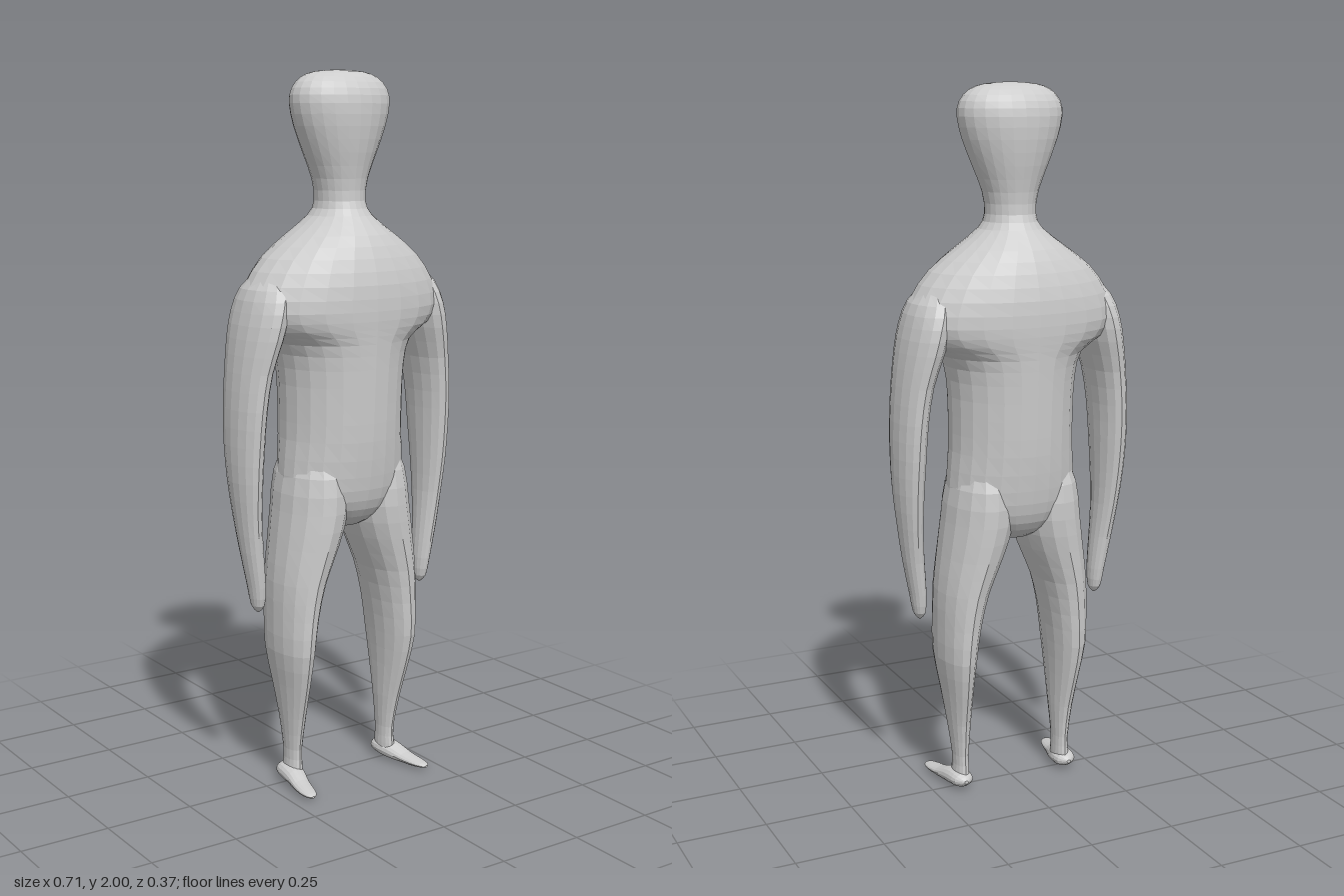
import * as THREE from 'three';

const skin = new THREE.MeshStandardMaterial({ color: 0xcccccc, flatShading: true });
skin.name = 'light grey';

// Smooth loft through elliptic stations [y, centreX, halfX, centreZ, halfZ], listed top to bottom.
function loft(stations, sides, rings) {
  const mid = new THREE.CatmullRomCurve3(
    stations.map(([y, cx, , cz]) => new THREE.Vector3(cx, y, cz)), false, 'catmullrom', 0.5);
  const size = new THREE.CatmullRomCurve3(
    stations.map(([, , hx, , hz]) => new THREE.Vector3(hx, 0, hz)), false, 'catmullrom', 0.5);
  const pos = [], index = [];
  for (let i = 0; i <= rings; i++) {
    const c = mid.getPoint(i / rings), s = size.getPoint(i / rings);
    for (let j = 0; j < sides; j++) {
      const a = (j / sides) * Math.PI * 2;
      pos.push(c.x + s.x * Math.cos(a), c.y, c.z + s.z * Math.sin(a));
    }
  }
  for (let i = 0; i < rings; i++) {
    for (let j = 0; j < sides; j++) {
      const k = (j + 1) % sides;
      const a = i * sides + j, b = i * sides + k;
      index.push(a, b, a + sides, b, b + sides, a + sides);
    }
  }
  // End caps
  const last = rings * sides;
  for (let j = 1; j < sides - 1; j++) {
    index.push(0, j + 1, j);
    index.push(last, last + j, last + j + 1);
  }
  const g = new THREE.BufferGeometry();
  g.setAttribute('position', new THREE.Float32BufferAttribute(pos, 3));
  g.setIndex(index);
  g.computeVertexNormals();
  return g;
}

// Head, neck, shoulders and trunk: [y, halfX, halfZ]
const HEAD = [
  [2.0, 0.01, 0.005], [1.995, 0.075, 0.04], [1.98, 0.118, 0.068], [1.95, 0.145, 0.092],
  [1.91, 0.151, 0.102], [1.85, 0.136, 0.1], [1.78, 0.107, 0.09], [1.71, 0.078, 0.077],
  [1.65, 0.07, 0.075], [1.61, 0.088, 0.095],
];
const TRUNK = [
  [1.61, 0.088, 0.095], [1.56, 0.155, 0.136], [1.5, 0.235, 0.165], [1.43, 0.288, 0.183],
  [1.36, 0.31, 0.186], [1.31, 0.275, 0.183], [1.27, 0.205, 0.18], [1.2, 0.182, 0.176],
  [1.1, 0.177, 0.171], [1.0, 0.178, 0.165], [0.9, 0.187, 0.153], [0.83, 0.18, 0.138],
  [0.78, 0.13, 0.11], [0.745, 0.06, 0.06], [0.735, 0.01, 0.01],
];
// Limbs on the +x side: [y, centreX, halfX, centreZ, halfZ]
const ARM = [
  [1.47, 0.23, 0.02, 0, 0.05], [1.42, 0.24, 0.056, 0, 0.1], [1.36, 0.258, 0.06, 0, 0.118],
  [1.29, 0.275, 0.058, 0, 0.115], [1.2, 0.296, 0.049, 0, 0.1], [1.1, 0.308, 0.045, 0, 0.092],
  [1.0, 0.312, 0.043, 0, 0.083], [0.9, 0.312, 0.039, 0.002, 0.071], [0.8, 0.307, 0.033, 0.004, 0.057],
  [0.7, 0.297, 0.029, 0.008, 0.044], [0.6, 0.284, 0.023, 0.01, 0.034],
  [0.545, 0.28, 0.017, 0.01, 0.024], [0.526, 0.279, 0.004, 0.01, 0.005],
];
const LEG = [
  [1.0, 0.1, 0.04, 0, 0.09], [0.9, 0.1, 0.086, 0, 0.132], [0.8, 0.105, 0.096, 0.002, 0.138],
  [0.7, 0.127, 0.087, 0.004, 0.13], [0.6, 0.154, 0.071, 0.005, 0.12], [0.5, 0.168, 0.059, 0.006, 0.113],
  [0.4, 0.174, 0.051, 0.007, 0.107], [0.3, 0.17, 0.039, 0.006, 0.084], [0.2, 0.165, 0.03, 0.004, 0.056],
  [0.1, 0.162, 0.021, 0, 0.038], [0.05, 0.162, 0.022, 0, 0.04], [0.02, 0.165, 0.026, 0, 0.043],
];
// Foot from toe to heel: [z, centreX, halfX, -centreY, halfY]
const FOOT = [
  [0.163, 0.197, 0.004, -0.011, 0.003], [0.15, 0.195, 0.017, -0.012, 0.007],
  [0.12, 0.191, 0.024, -0.013, 0.011], [0.08, 0.184, 0.027, -0.016, 0.015],
  [0.04, 0.175, 0.031, -0.023, 0.023], [0, 0.169, 0.034, -0.028, 0.025],
  [-0.035, 0.167, 0.029, -0.029, 0.02], [-0.055, 0.167, 0.006, -0.029, 0.005],
];

export function createModel() {
  const model = new THREE.Group();
  model.name = 'humanFigure';
  const add = (name, geometry) => {
    const mesh = new THREE.Mesh(geometry, skin);
    mesh.name = name;
    model.add(mesh);
  };
  const central = rows => rows.map(([y, hx, hz]) => [y, 0, hx, 0.002, hz]);
  const mirrored = (rows, s) => rows.map(([y, cx, ...rest]) => [y, cx * s, ...rest]);

  // Head and trunk share one continuous skin
  add('headAndTrunk', loft(central([...HEAD, ...TRUNK.slice(1)]), 24, 46));

  // Paired limbs
  for (const [side, s] of [['left', 1], ['right', -1]]) {
    add(side + 'Arm', loft(mirrored(ARM, s), 16, 24));
    add(side + 'Leg', loft(mirrored(LEG, s), 16, 22));
    add(side + 'Foot', loft(mirrored(FOOT, s), 16, 14).rotateX(Math.PI / 2));
  }
  return model;
}
